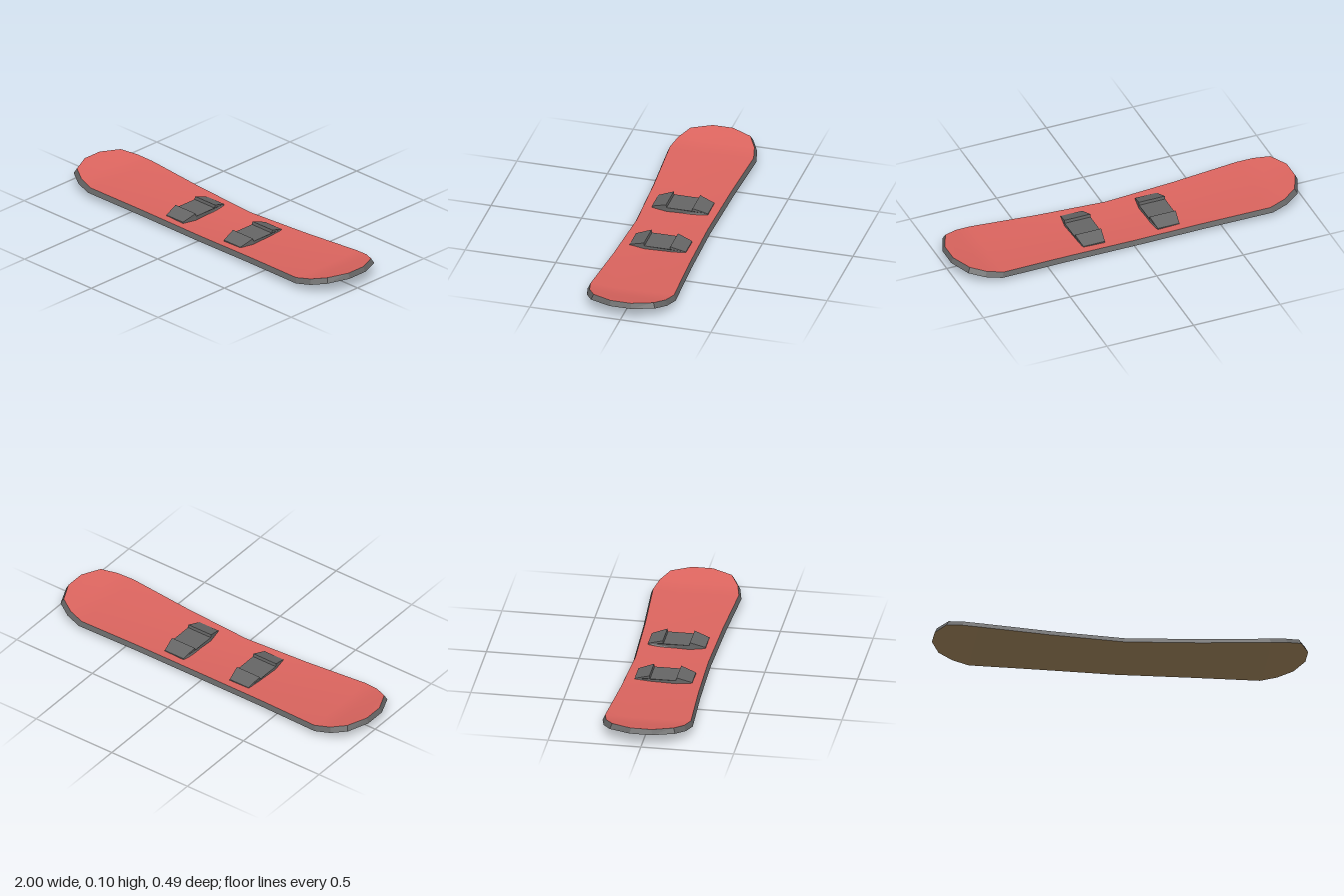
import * as THREE from 'three';

const red = new THREE.MeshStandardMaterial({ name: 'deck red', color: 0xdc655f });
const grey = new THREE.MeshStandardMaterial({ name: 'dark grey', color: 0x666666 });
const brown = new THREE.MeshStandardMaterial({ name: 'base tan', color: 0xac8d62 });

// Half of the board: x, half width, height of the base, rise of the edges
const half = [
  [0, 0.208, 0, 0.009],
  [0.4, 0.221, 0.014, 0.007],
  [0.78, 0.243, 0.029, 0.006],
  [0.87, 0.222, 0.045, 0.005],
  [0.95, 0.177, 0.065, 0.004],
  [1, 0.06, 0.075, 0],
];
const rows = [
  ...half.slice(1).reverse().map(([x, ...rest]) => [-x, ...rest]),
  ...half,
];
const columns = [-1, -0.35, 0.35, 1];

// The top sheet is lifted and slightly inset from the base
function point([x, w, y, rise], c, top) {
  const edge = Math.abs(c) === 1 ? rise : 0;
  return top
    ? [x * 0.987, y + edge + 0.027, c * (w - (w > 0.1 ? 0.012 : 0.004))]
    : [x, y + edge, c * w];
}

function geometryFrom(positions, index) {
  const g = new THREE.BufferGeometry();
  g.setAttribute('position', new THREE.Float32BufferAttribute(positions, 3));
  if (index) g.setIndex(index);
  g.computeVertexNormals();
  return g;
}

function sheet(top) {
  const positions = rows.flatMap(r => columns.flatMap(c => point(r, c, top)));
  const index = [];
  const n = columns.length;
  for (let i = 0; i < rows.length - 1; i++) {
    for (let j = 0; j < n - 1; j++) {
      const a = i * n + j, b = a + 1, c = a + n, d = c + 1;
      if (top) index.push(a, b, c, b, d, c);
      else index.push(a, c, b, b, c, d);
    }
  }
  return geometryFrom(positions, index);
}

// Flat-faced side wall around the outline
function rim() {
  const first = rows[0], last = rows[rows.length - 1];
  const loop = [
    ...rows.map(r => [r, 1]),
    ...[0.35, -0.35].map(c => [last, c]),
    ...[...rows].reverse().map(r => [r, -1]),
    ...[-0.35, 0.35].map(c => [first, c]),
  ];
  const positions = [];
  loop.forEach(([r, c], i) => {
    const [r2, c2] = loop[(i + 1) % loop.length];
    const p = point(r, c, false), q = point(r2, c2, false);
    const pt = point(r, c, true), qt = point(r2, c2, true);
    positions.push(...p, ...q, ...qt, ...p, ...qt, ...pt);
  });
  return geometryFrom(positions);
}

// Side profile with two ramps and a lower footbed, narrowed at both ends
function bindingGeometry() {
  const profile = [
    [-0.155, 0.025], [-0.073, 0.025], [0.073, 0.025], [0.155, 0.025],
    [0.155, 0.045], [0.073, 0.072], [0.07, 0.055],
    [-0.07, 0.055], [-0.073, 0.072], [-0.155, 0.045],
  ];
  const shape = new THREE.Shape(profile.map(([z, y]) => new THREE.Vector2(z, y)));
  const g = new THREE.ExtrudeGeometry(shape, { depth: 0.15, bevelEnabled: false });
  g.translate(0, 0, -0.075).rotateY(Math.PI / 2);
  const p = g.attributes.position;
  for (let i = 0; i < p.count; i++) {
    if (Math.abs(p.getZ(i)) > 0.1) p.setX(i, p.getX(i) * 0.83);
  }
  g.computeVertexNormals();
  return g;
}

export function createModel() {
  const model = new THREE.Group();
  model.name = 'snowboard';
  const add = (name, geometry, material) => {
    const mesh = new THREE.Mesh(geometry, material);
    mesh.name = name;
    model.add(mesh);
    return mesh;
  };
  add('deck', sheet(true), red);
  add('base', sheet(false), brown);
  add('rim', rim(), grey);
  const binding = bindingGeometry();
  add('leftBinding', binding, grey).position.x = 0.215;
  add('rightBinding', binding, grey).position.x = -0.215;
  return model;
}
